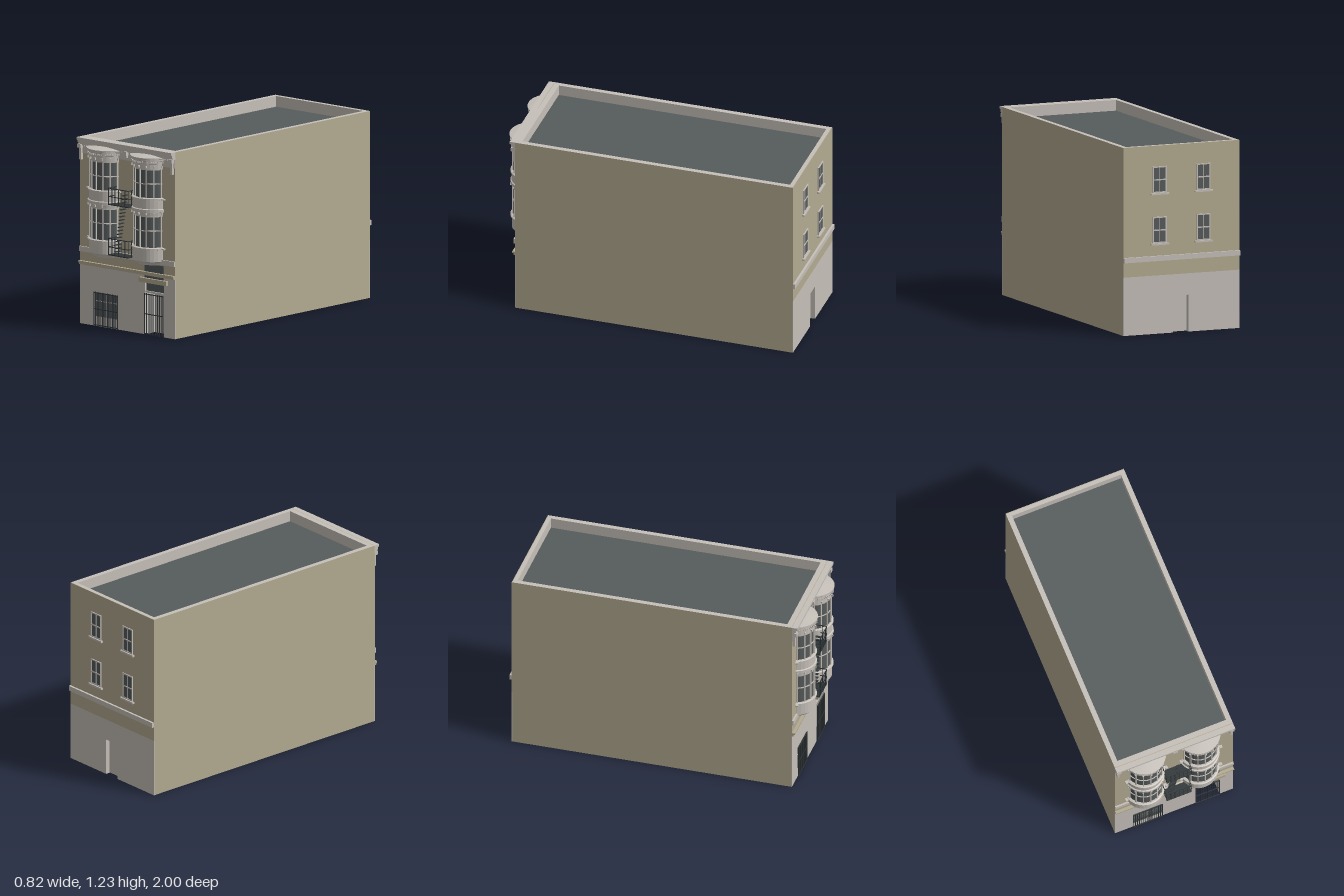
import * as THREE from 'three';
import { toCreasedNormals } from 'three/addons/utils/BufferGeometryUtils.js';

const material = (name, color) => Object.assign(new THREE.MeshStandardMaterial({ color }), { name });

export function createModel() {
  const model = new THREE.Group();
  model.name = 'townBuilding';
  const sand = material('sand wall', 0xb3aa90);
  const stone = material('pale stone', 0xc6c0b9);
  const slate = material('slate glass and roof', 0x565b5c);
  const iron = material('dark iron', 0x2f3538);

  function add(name, geometry, mat, parent = model) {
    const mesh = new THREE.Mesh(geometry, mat);
    mesh.name = name;
    parent.add(mesh);
    return mesh;
  }
  // Box given by its lower and upper limits on each axis
  function box(name, mat, [x0, x1], [y0, y1], [z0, z1], parent = model) {
    const mesh = add(name, new THREE.BoxGeometry(x1 - x0, y1 - y0, z1 - z0), mat, parent);
    mesh.position.set((x0 + x1) / 2, (y0 + y1) / 2, (z0 + z1) / 2);
    return mesh;
  }
  function group(name, x = 0, y = 0, z = 0) {
    const g = new THREE.Group();
    g.name = name;
    g.position.set(x, y, z);
    model.add(g);
    return g;
  }
  // Upright slab with a doorway cut from its lower edge
  function doorwayWall(name, mat, half, top, [d0, d1, dTop], z0, z1) {
    const outline = [[-half, 0], [d0, 0], [d0, dTop], [d1, dTop], [d1, 0], [half, 0], [half, top], [-half, top]];
    const shape = new THREE.Shape(outline.map(([x, y]) => new THREE.Vector2(x, y)));
    const geometry = new THREE.ExtrudeGeometry(shape, { depth: z1 - z0, bevelEnabled: false });
    add(name, geometry, mat).position.z = z0;
  }

  // Shell: hollow walls, open below, with a sunken roof
  const W = 0.41, H = 1.225, T = 0.033, BACK = -0.985, FRONT = 0.895, SKIN = 0.004;
  const frontDoor = [0.15, 0.315, 0.345], backDoor = [-0.05, 0.06, 0.24];
  for (const s of [-1, 1]) {
    const mats = [s > 0 ? sand : stone, s > 0 ? stone : sand, stone, sand, sand, sand];
    box('sideWall', mats, s > 0 ? [W - T, W] : [-W, T - W], [0, H], [BACK + SKIN, FRONT - SKIN]);
  }
  doorwayWall('frontWall', stone, W - T, H, frontDoor, 0.855, FRONT - SKIN);
  doorwayWall('backWall', stone, W - T, H, backDoor, BACK + SKIN, -0.955);
  doorwayWall('frontGroundFacing', stone, W, 0.39, frontDoor, FRONT - SKIN, FRONT);
  doorwayWall('backGroundFacing', stone, W, 0.38, backDoor, BACK, BACK + SKIN);
  box('frontUpperFacing', sand, [-W, W], [0.39, H], [FRONT - SKIN, FRONT]);
  box('backUpperFacing', sand, [-W, W], [0.38, H], [BACK, BACK + SKIN]);
  box('roof', slate, [T - W, W - T], [1.135, 1.155], [-0.955, 0.855]);

  // Bands and mouldings
  box('frontBelt', stone, [-W, W], [0.475, 0.508], [FRONT, 0.906]);
  box('backBelt', stone, [-W, W], [0.475, 0.508], [-1, BACK]);
  box('frontMoulding', sand, [-W, W], [0.39, 0.402], [FRONT, 0.907]);
  box('frontMouldingTop', sand, [-W, W], [0.402, 0.414], [FRONT, 0.915]);

  // Main cornice with stepped profile, dentils and brackets
  box('frieze', stone, [-W, W], [1.12, 1.18], [FRONT, 0.901]);
  [[1.175, 1.19, 0.912], [1.19, 1.208, 0.922], [1.208, H, 0.932]].forEach(([y0, y1, z]) =>
    box('corniceStep', stone, [-W, W], [y0, y1], [0.89, z]));
  for (let i = 0; i < 40; i++) {
    const x = -0.39 + i * 0.02;
    box('corniceDentil', stone, [x - 0.005, x + 0.005], [1.166, 1.176], [FRONT, 0.91]);
  }
  for (const [x, drop] of [[-0.393, 1.078], [0.393, 1.078], [0, 1.138]]) {
    box('bracketTop', stone, [x - 0.015, x + 0.015], [1.155, 1.18], [FRONT, 0.925]);
    box('bracketFoot', stone, [x - 0.008, x + 0.008], [drop, 1.155], [FRONT, 0.914]);
  }

  // Rounded two-storey bays
  const SPAN = THREE.MathUtils.degToRad(160);
  function bay(cx) {
    const g = group('roundedBay', cx, 0, 0.855);
    const turn = (name, mat, profile) => {
      const pts = profile.map(([r, y]) => new THREE.Vector2(r, y));
      add(name, toCreasedNormals(new THREE.LatheGeometry(pts, 14, -SPAN / 2, SPAN), 0.05), mat, g);
    };
    // Small box facing outward around the curve
    const around = (name, angle, r, y, w, h, d) => {
      const m = add(name, new THREE.BoxGeometry(w, h, d), stone, g);
      m.position.set(r * Math.sin(angle), y, r * Math.cos(angle));
      m.rotation.y = angle;
    };
    turn('bayBase', stone, [[0.045, 0.468], [0.095, 0.468], [0.1, 0.478], [0.115, 0.48], [0.122, 0.49],
      [0.13, 0.495], [0.13, 0.573], [0.139, 0.575], [0.139, 0.584], [0.13, 0.588], [0.119, 0.588]]);
    turn('bayMiddle', stone, [[0.119, 0.797], [0.13, 0.797], [0.132, 0.818], [0.139, 0.82], [0.139, 0.838],
      [0.131, 0.842], [0.131, 0.9], [0.139, 0.902], [0.139, 0.91], [0.13, 0.914], [0.119, 0.914]]);
    turn('bayTop', stone, [[0.119, 1.105], [0.13, 1.105], [0.13, 1.137], [0.135, 1.139], [0.135, 1.155],
      [0.141, 1.158], [0.141, 1.166], [0.145, 1.169], [0.145, 1.177], [0.045, 1.19]]);
    for (const [y0, y1, rail] of [[0.586, 0.8, 0.697], [0.912, 1.108, 1.005]]) {
      turn('bayGlass', slate, [[0.121, y0], [0.121, y1]]);
      turn('bayRail', stone, [[0.119, rail - 0.003], [0.126, rail - 0.003], [0.126, rail + 0.003], [0.119, rail + 0.003]]);
      turn('bayHeadRail', stone, [[0.119, y1 - 0.012], [0.126, y1 - 0.012], [0.126, y1], [0.119, y1]]);
      for (let i = -3; i <= 3; i++) {
        const a = i * Math.PI / 8;
        around('bayMullion', a, 0.124, (y0 + y1) / 2, 0.008, y1 - y0, 0.01);
        around('bayBlock', a, 0.134, y1 + 0.01, 0.009, 0.014, 0.014);
      }
      for (const s of [-1, 1]) {
        const x = s * 0.137;
        box('sillEnd', stone, [x - 0.009, x + 0.009], [y0 - 0.011, y0 - 0.003], [0.03, 0.06], g);
      }
    }
    for (let i = -12; i <= 12; i++) around('bayDentil', i * 0.11, 0.136, 1.147, 0.007, 0.011, 0.01);
  }
  bay(-0.195);
  bay(0.183);

  // Fire escape: two railed platforms joined by treads
  for (const y of [0.5, 0.83]) {
    const g = group('fireEscapePlatform', 0, y, 0);
    const X = 0.085, Z0 = 0.896, Z1 = 0.985, R = 0.0022;
    box('platformFloor', iron, [-X, X], [0, 0.006], [Z0, Z1], g);
    for (const h of [0.055, 0.11]) {
      box('frontRail', iron, [-X, X], [h - R, h + R], [Z1 - 2 * R, Z1], g);
      for (const s of [-1, 1]) box('endRail', iron, [s * X - R, s * X + R], [h - R, h + R], [Z0, Z1], g);
    }
    for (let i = 0; i <= 6; i++) {
      const x = -X + i * X / 3;
      box('railPost', iron, [x - 0.0015, x + 0.0015], [0, 0.11], [Z1 - 2 * R, Z1], g);
    }
    for (const s of [-1, 1]) for (const z of [0.92, 0.95])
      box('endPost', iron, [s * X - 0.0015, s * X + 0.0015], [0, 0.11], [z, z + 0.003], g);
  }
  for (let i = 0; i < 17; i++) {
    const x = -0.049 + i * 0.004, y = 0.52 + i * 0.0235;
    box('stairTread', iron, [x - 0.009, x + 0.009], [y, y + 0.004], [0.915, 0.96]);
  }

  // Front entrance: porch recess, dark transoms, lintel
  box('porchBack', [slate, slate, slate, slate, stone, slate], [0.15, 0.315], [0, 0.345], [0.79, 0.8]);
  box('porchSide', stone, [0.14, 0.15], [0, 0.345], [0.79, 0.855]);
  box('porchSide', [slate, stone, stone, stone, stone, stone], [0.315, 0.325], [0, 0.345], [0.79, 0.855]);
  box('porchCeiling', stone, [0.14, 0.325], [0.345, 0.355], [0.79, 0.855]);
  box('doorTransom', slate, [0.152, 0.313], [0.285, 0.345], [0.87, 0.88]);
  box('transomRail', stone, [0.15, 0.315], [0.273, 0.285], [0.865, 0.89]);
  box('upperTransom', slate, [0.15, 0.315], [0.414, 0.466], [FRONT, 0.898]);
  box('middleTransom', slate, [0.15, 0.315], [0.37, 0.39], [FRONT, 0.898]);
  box('doorLintel', sand, [0.115, 0.35], [0.343, 0.373], [FRONT, 0.916]);

  // Ground window panes
  for (const [x0, x1] of [[-0.28, -0.188], [-0.18, -0.086]]) {
    box('windowPane', slate, [x0, x1], [0.065, 0.163], [FRONT, 0.897]);
    box('windowPane', slate, [x0, x1], [0.17, 0.22], [FRONT, 0.897]);
  }

  // Iron grilles over the door and window
  function grille(name, x0, x1, top, bars) {
    const g = group(name);
    for (let i = 0; i <= bars; i++) {
      const x = x0 + (x1 - x0) * i / bars;
      box('bar', iron, [x - 0.0018, x + 0.0018], [0, top], [0.899, 0.903], g);
    }
    for (const y of [0.008, top / 2, top - 0.006]) box('crossBar', iron, [x0, x1], [y - 0.0025, y + 0.0025], [0.898, 0.904], g);
  }
  grille('doorGate', 0.152, 0.313, 0.272, 10);
  grille('windowGrille', -0.285, -0.082, 0.225, 14);

  // Back door
  box('backDoorLeaf', [slate, slate, slate, slate, slate, stone], [-0.055, 0.065], [0.002, 0.245], [-0.955, -0.945]);

  // Back sash windows
  for (const x of [-0.155, 0.155]) for (const y of [0.59, 0.918]) {
    const g = group('backWindow', x, y, BACK);
    box('glass', slate, [-0.045, 0.045], [0, 0.17], [-0.003, 0], g);
    for (const s of [-1, 1]) box('jamb', stone, [s * 0.045 - 0.004, s * 0.045 + 0.004], [0, 0.172], [-0.007, 0], g);
    for (const h of [0.004, 0.085, 0.168]) box('sashRail', stone, [-0.045, 0.045], [h - 0.004, h + 0.004], [-0.006, 0], g);
    box('muntin', stone, [-0.0015, 0.0015], [0, 0.17], [-0.005, 0], g);
    box('sill', stone, [-0.063, 0.063], [-0.012, 0], [-0.015, 0], g);
  }
  return model;
}
